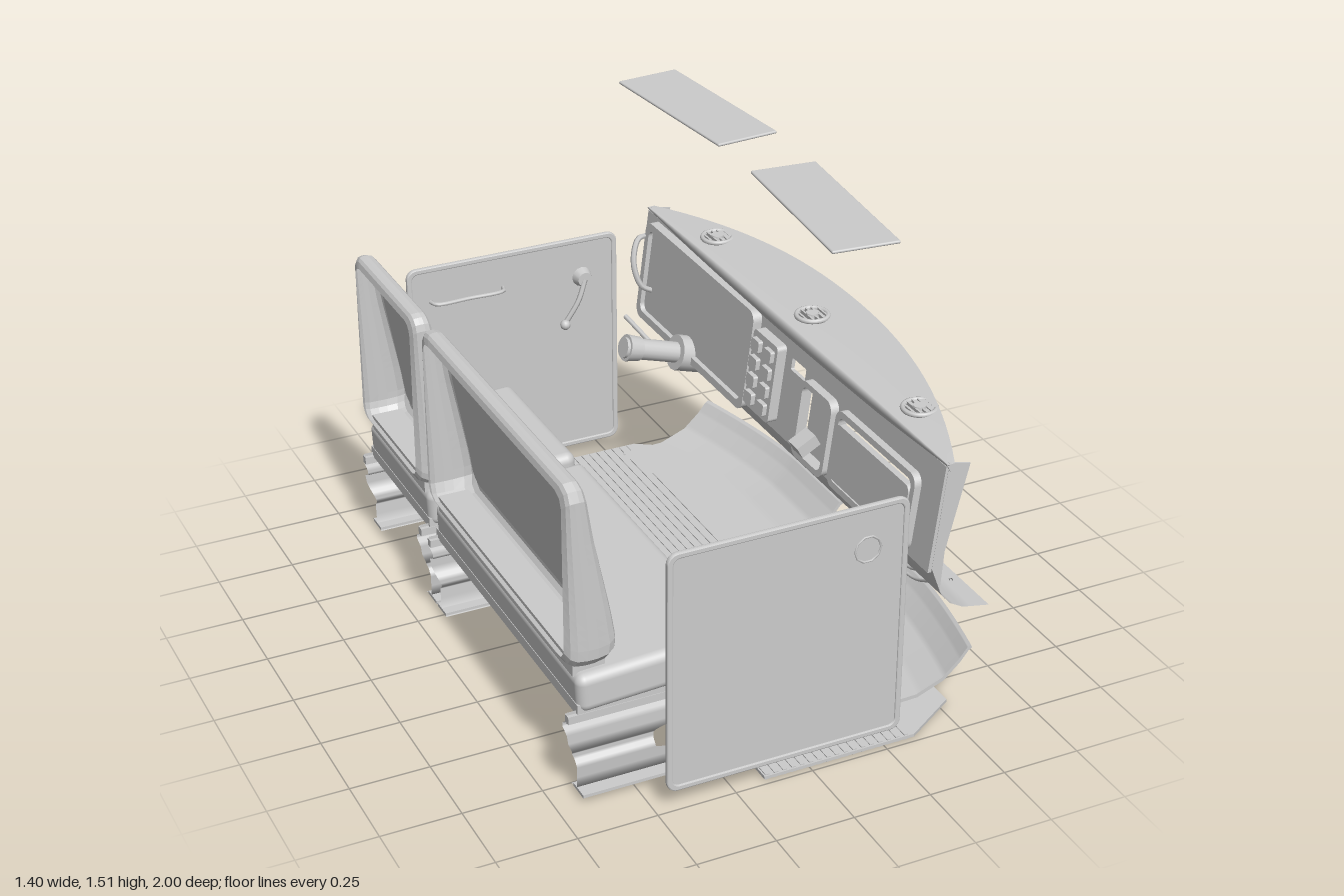
import * as THREE from 'three';
import { RoundedBoxGeometry } from 'three/addons/geometries/RoundedBoxGeometry.js';
import { ParametricGeometry } from 'three/addons/geometries/ParametricGeometry.js';

const mat = new THREE.MeshStandardMaterial({ color: 0xcccccc, side: THREE.DoubleSide });

export function createModel() {
  const root = new THREE.Group();
  const add = (name, geo, x = 0, y = 0, z = 0) => {
    const mesh = new THREE.Mesh(geo, mat);
    mesh.name = name;
    mesh.position.set(x, y, z);
    root.add(mesh);
    return mesh;
  };
  const box = (name, x0, x1, y0, y1, z0, z1) =>
    add(name, new THREE.BoxGeometry(x1 - x0, y1 - y0, z1 - z0), (x0 + x1) / 2, (y0 + y1) / 2, (z0 + z1) / 2);
  // point on a polyline, t in 0..1 spread evenly over its segments
  const along = (pts, t) => {
    const s = Math.min(t * (pts.length - 1), pts.length - 1.0001), i = Math.floor(s), f = s - i;
    return pts[i].map((a, k) => a + (pts[i + 1][k] - a) * f);
  };
  // value at y of a rising [y, x] table
  const lookup = (tab, y) => {
    let i = 0;
    while (i < tab.length - 2 && y > tab[i + 1][0]) i++;
    const [a, b] = [tab[i], tab[i + 1]];
    return a[1] + (b[1] - a[1]) * THREE.MathUtils.clamp((y - a[0]) / (b[0] - a[0]), 0, 1);
  };
  const sheet = (name, fn, nu, nv) => add(name, new ParametricGeometry((u, v, p) => p.set(...fn(u, v)), nu, nv));
  const tube = (name, pts, r, n = 32) =>
    add(name, new THREE.TubeGeometry(new THREE.CatmullRomCurve3(pts.map(p => new THREE.Vector3(...p))), n, r, 6));
  const polygon = pts => new THREE.Shape(pts.map(p => new THREE.Vector2(...p)));
  const roundRect = (C, x0, y0, x1, y1, r) => {
    const s = new C();
    s.absarc(x1 - r, y1 - r, r, 0, Math.PI / 2);
    s.absarc(x0 + r, y1 - r, r, Math.PI / 2, Math.PI);
    s.absarc(x0 + r, y0 + r, r, Math.PI, Math.PI * 1.5);
    s.absarc(x1 - r, y0 + r, r, Math.PI * 1.5, Math.PI * 2);
    s.closePath();
    return s;
  };
  const extrude = (shape, depth) => new THREE.ExtrudeGeometry(shape, { depth, bevelEnabled: false, curveSegments: 6 });

  // Doors with a raised rim, round boss, crank and pull
  for (const s of [1, -1]) {
    add('doorPanel', extrude(roundRect(THREE.Shape, -0.465, 0.07, 0.285, 0.85, 0.03), 0.007), 0, 0, s * 0.992 - 0.0035);
    const rim = roundRect(THREE.Shape, -0.466, 0.069, 0.286, 0.851, 0.03);
    rim.holes.push(roundRect(THREE.Path, -0.455, 0.08, 0.275, 0.84, 0.025));
    add('doorRim', new THREE.ExtrudeGeometry(rim, {
      depth: 0.006, bevelThickness: 0.005, bevelSize: 0.004, bevelSegments: 2, curveSegments: 6
    }), 0, 0, s * 0.992 - 0.003);
    add('doorBoss', new THREE.TorusGeometry(0.042, 0.004, 6, 10), 0.16, 0.71, s * 0.995);
    add('crankHub', new THREE.CylinderGeometry(0.025, 0.035, 0.03, 12), 0.16, 0.71, s * 0.973).rotation.x = -s * Math.PI / 2;
    tube('crankArm', [[0.16, 0.71, s * 0.96], [0.13, 0.64, s * 0.95], [0.08, 0.56, s * 0.955]], 0.009, 10);
    add('crankKnob', new THREE.SphereGeometry(0.018, 10, 8), 0.08, 0.56, s * 0.95);
    tube('doorPull', [[-0.39, 0.73, s * 0.985], [-0.38, 0.73, s * 0.958], [-0.26, 0.73, s * 0.955], [-0.14, 0.73, s * 0.958], [-0.13, 0.73, s * 0.985]], 0.007, 24);
  }

  // Floor with its front corners cut, and shallow ribs across it
  const floor = polygon([[-0.15, -0.985], [0.35, -0.985], [0.53, -0.87], [0.53, 0.87], [0.35, 0.985], [-0.15, 0.985]]);
  add('floor', extrude(floor, 0.01).rotateX(Math.PI / 2), 0, 0.015, 0);
  for (let i = 0; i < 17; i++) {
    const x = -0.145 + i * 0.029;
    box('floorRib', x, x + 0.013, 0.014, 0.018, -0.98, 0.98);
    box('floorRibUnderside', x, x + 0.013, 0, 0.006, -0.98, 0.98);
  }

  // Toe boards curving up, bowed forward towards the middle, with closed ends
  const toe = [[0.36, 0.035], [0.51, 0.04], [0.6, 0.075], [0.655, 0.125], [0.683, 0.16], [0.695, 0.167]];
  const toePoint = (t, z, drop) => {
    const [x, y] = along(toe, t);
    return [x - 0.08 * (Math.max(0, Math.abs(z) - 0.4) / 0.48) ** 1.5 + drop * 0.4, y - drop, z];
  };
  for (const [z0, z1] of [[-0.91, -0.09], [-0.02, 0.84]]) {
    for (const drop of [0, 0.012]) sheet('toeBoard', (u, v) => toePoint(u, z0 + (z1 - z0) * v, drop), 20, 24);
    for (const z of [z0, z1]) sheet('toeBoardEnd', (u, v) => toePoint(u, z, v * 0.012), 20, 1);
  }

  // Seats: open-backed backrest shell with side bolsters, cushion, frame and risers
  const frontX = [[0.43, -0.555], [0.5, -0.54], [0.6, -0.556], [0.85, -0.607], [0.98, -0.628], [1.03, -0.635]];
  const rings = [[0.03, 0, 0], [0.012, 0, 0.08], [0.003, 0, 0.2], [0, 0, 0.4], [0, 0, 0.6], [0.004, 0, 0.82], [0.015, 0, 0.95],
    [0.03, 0, 1], [0.045, 0, 0.98], [0.065, 0, 0.87], [0.065, 0.2, 0.85], [0.065, 0.45, 0.85], [0.065, 0.7, 0.85], [0.065, 1, 0.85]];
  const backrest = (z0, z1) => {
    const pts = roundRect(THREE.Shape, z0, 0.435, z1, 1.03, 0.045).getSpacedPoints(96);
    const cz = (z0 + z1) / 2, cy = 0.73, hz = (z1 - z0) / 2, hy = 0.3;
    sheet('backrest', (u, v) => {
      const [inset, shrink, d] = along(rings, v), p = pts[Math.round(u * 96) % 96];
      const z = cz + (p.x - cz) * (1 - inset / hz) * (1 - shrink), y = cy + (p.y - cy) * (1 - inset / hy) * (1 - shrink);
      return [-0.7 + (lookup(frontX, y) + 0.7) * d, y, z];
    }, 96, rings.length - 1);
  };
  // riser section as z offset and y, with the rear and front x at each height
  const wave = [[0.045, 0.02], [0.005, 0.03], [0, 0.1], [0.018, 0.12], [0.018, 0.14], [0, 0.16], [0, 0.22], [0.03, 0.235], [0.03, 0.25], [0, 0.262], [0, 0.3]];
  const riserRear = [[0.02, -0.67], [0.12, -0.67], [0.2, -0.7], [0.3, -0.7]];
  const riserFront = [[0.05, -0.2], [0.1, -0.42], [0.16, -0.42], [0.22, -0.2]];
  for (const [z0, z1] of [[-0.86, -0.31], [-0.27, 0.84]]) {
    backrest(z0 + 0.01, z1);
    const cushion = add('cushion', new RoundedBoxGeometry(0.51, 0.125, z1 - z0, 4, 0.03), -0.415, 0.363, (z0 + z1) / 2);
    cushion.rotation.z = 0.05;
    box('seatFrame', -0.67, -0.2, 0.285, 0.32, z0 + 0.01, z1 - 0.01);
    box('seatFrameFront', -0.22, -0.2, 0.25, 0.3, z0 + 0.01, z1 - 0.01);
    box('backrestMount', -0.67, -0.57, 0.4, 0.45, z0 + 0.04, z1 - 0.04);
    for (const [z, s] of [[z0 + 0.02, 1], [z1 - 0.02, -1]]) {
      sheet('riser', (u, v) => {
        const [dz, y] = along(wave, v), a = lookup(riserRear, y);
        return [a + (lookup(riserFront, y) - a) * u, y, z + s * dz];
      }, 4, (wave.length - 1) * 2);
      box('upperRail', -0.7, -0.2, 0.265, 0.29, z - 0.012, z + 0.012);
      box('riserFoot', -0.67, -0.2, 0.02, 0.03, z - 0.03, z + 0.04);
      box('frontLeg', -0.23, -0.2, 0.16, 0.26, z - 0.005, z + 0.005);
    }
  }

  // Dashboard face, leaning, notched for the cluster and pierced by the glove box, pocket and radio
  const lean = y => 0.38 + (y - 0.58) * 0.13;
  const facePlate = (name, shape, depth, offset) => {
    const g = extrude(shape, depth).rotateY(-Math.PI / 2), p = g.attributes.position;
    for (let i = 0; i < p.count; i++) p.setX(i, p.getX(i) + lean(p.getY(i)) + offset);
    g.computeVertexNormals();
    return add(name, g);
  };
  const face = polygon([[-0.985, 0.57], [-0.915, 0.57], [-0.915, 0.86], [-0.89, 0.885], [-0.17, 0.885], [-0.145, 0.86],
    [-0.145, 0.57], [0.985, 0.57], [0.985, 0.91], [-0.985, 0.91]]);
  face.holes.push(roundRect(THREE.Path, 0.42, 0.59, 0.87, 0.82, 0.03), roundRect(THREE.Path, 0.2, 0.585, 0.38, 0.82, 0.03),
    roundRect(THREE.Path, 0.08, 0.8, 0.17, 0.84, 0.005));
  facePlate('dashFace', face, 0.012, 0);
  const frame = (x0, y0, x1, y1, w) => {
    const s = roundRect(THREE.Shape, x0, y0, x1, y1, 0.035);
    s.holes.push(roundRect(THREE.Path, x0 + w, y0 + w, x1 - w, y1 - w, 0.025));
    return s;
  };
  facePlate('gloveBoxFrame', frame(0.41, 0.58, 0.88, 0.83, 0.02), 0.03, -0.005);
  facePlate('gloveBoxLid', roundRect(THREE.Shape, 0.43, 0.61, 0.86, 0.79, 0.02), 0.02, -0.02);
  facePlate('centrePocketFrame', frame(0.19, 0.575, 0.39, 0.83, 0.018), 0.035, -0.005);
  facePlate('centrePocket', roundRect(THREE.Shape, 0.2, 0.585, 0.38, 0.82, 0.03), 0.01, 0.015);
  facePlate('clusterPanel', roundRect(THREE.Shape, -0.92, 0.565, -0.14, 0.89, 0.03), 0.012, -0.015);
  facePlate('clusterFrame', frame(-0.93, 0.56, -0.135, 0.9, 0.025), 0.035, -0.008);
  facePlate('switchPanel', roundRect(THREE.Shape, -0.12, 0.6, 0.04, 0.86, 0.015), 0.035, -0.01);
  for (let r = 0; r < 4; r++) for (const z of [-0.08, 0]) {
    facePlate('switch', roundRect(THREE.Shape, z - 0.025, 0.62 + r * 0.06, z + 0.025, 0.66 + r * 0.06, 0.006), 0.015, -0.045);
  }
  tube('grabHandle', [[0.39, 0.84, -0.94], [0.34, 0.84, -0.92], [0.31, 0.77, -0.89], [0.33, 0.69, -0.87], [0.38, 0.66, -0.87]], 0.01, 24);
  box('pocketLever', 0.3, 0.37, 0.64, 0.68, 0.26, 0.32).rotation.z = 0.5;

  // Top shelf with a bowed windscreen edge
  const edgeX = z => 0.65 - 0.22 * Math.abs(z) ** 2.2;
  const shelfY = (z, t) => 0.918 + 0.047 * t ** 1.3 * (1 - z * z);
  sheet('dashTop', (u, v) => {
    const z = (v * 2 - 1) * 0.99, x0 = 0.39 + 0.02 * z * z;
    if (u < 0.2) return [x0 + 0.012 * (1 - u / 0.2), 0.895 + 0.023 * u / 0.2, z];
    const t = (u - 0.2) / 0.8;
    return [x0 + (edgeX(z) - x0) * t, shelfY(z, t), z];
  }, 10, 32);
  for (const z of [-0.64, 0.02, 0.68]) {
    const y = shelfY(z, 0.45) + 0.006;
    add('ventRing', new THREE.TorusGeometry(0.05, 0.008, 8, 24).rotateX(Math.PI / 2), 0.5, y, z);
    add('ventHub', new THREE.CylinderGeometry(0.02, 0.022, 0.018, 16), 0.5, y, z);
    for (let i = -2; i <= 2; i++) {
      const w = 2 * Math.sqrt(0.0024 - (i * 0.018) ** 2);
      add('ventSlat', new THREE.BoxGeometry(0.006, 0.012, w), 0.5 + i * 0.018, y, z);
    }
  }

  // End walls and lower skirt, split around the column housing
  const endWall = polygon([[0.42, 0.92], [0.49, 0.905], [0.42, 0.63], [0.41, 0.5], [0.38, 0.58]]);
  for (const z of [-0.985, 0.98]) add('dashEnd', extrude(endWall, 0.006), 0, 0, z);
  const skirt = [[0.379, 0.575], [0.395, 0.53], [0.415, 0.485], [0.445, 0.45], [0.49, 0.425], [0.58, 0.408]];
  for (const [z0, z1] of [[-0.99, -0.66], [-0.44, 0.99]]) {
    sheet('dashSkirt', (u, v) => [...along(skirt, u), z0 + (z1 - z0) * v], 15, 1);
  }
  box('housingTop', 0.37, 0.6, 0.615, 0.625, -0.67, -0.43);
  box('housingBack', 0.38, 0.39, 0.62, 0.67, -0.67, -0.43);
  const housingSide = polygon([[0.38, 0.62], [0.6, 0.62], [0.6, 0.41], [0.47, 0.43], [0.41, 0.49]]);
  for (const z of [-0.665, -0.435]) add('housingSide', extrude(housingSide, 0.008), 0, 0, z - 0.004);

  // Steering column
  const column = (name, r0, r1, len, x, y) => {
    add(name, new THREE.CylinderGeometry(r0, r1, len, 16), x, y, -0.56).rotation.z = Math.PI / 2 - 0.3;
  };
  column('columnShroud', 0.06, 0.06, 0.1, 0.355, 0.57);
  column('columnTube', 0.035, 0.035, 0.3, 0.26, 0.6);
  column('columnHub', 0.045, 0.04, 0.05, 0.15, 0.634);
  tube('columnStalk', [[0.24, 0.61, -0.56], [0.22, 0.64, -0.64], [0.2, 0.67, -0.72]], 0.009, 10);

  // Hanging cables, given as z, y
  for (const pts of [
    [[0.84, 0.42], [0.7, 0.33], [0.52, 0.26], [0.3, 0.38], [0.08, 0.43]],
    [[0.74, 0.42], [0.56, 0.3], [0.42, 0.3], [0.26, 0.41], [0.05, 0.43]],
    [[0.2, 0.4], [0, 0.36], [-0.3, 0.4], [-0.58, 0.44]]
  ]) tube('cable', pts.map(([z, y]) => [0.54 + (0.43 - y) * 0.22, y, z]), 0.005, 40);

  // Sun visors, slightly splayed
  for (const s of [1, -1]) {
    const visor = add('sunVisor', new RoundedBoxGeometry(0.21, 0.01, 0.605, 3, 0.005), s > 0 ? 0.305 : 0.31, 1.508, s * 0.42);
    visor.rotation.y = -s * 0.09;
  }
  return root;
}
